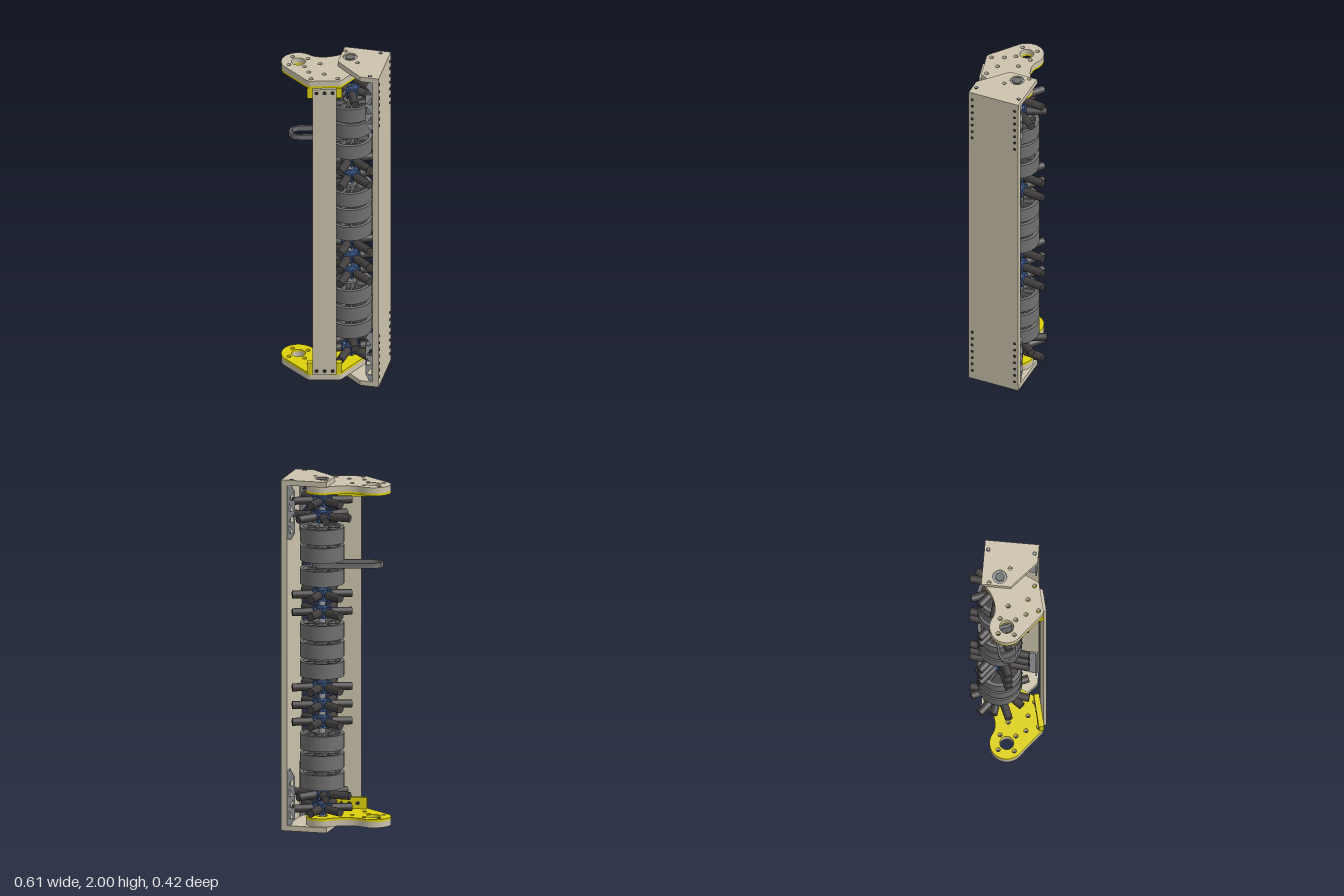
import * as THREE from 'three';

const mat = (name, color, double) => {
  const m = new THREE.MeshStandardMaterial({ color });
  m.name = name;
  if (double) m.side = THREE.DoubleSide;
  return m;
};

export function createModel() {
  const beige = mat('beige panel', 0xcbc3ac);
  const yellow = mat('yellow plate', 0xddd00c);
  const grey = mat('grey wheel', 0x707070);
  const dark = mat('dark rubber', 0x423e3e);
  const blue = mat('blue hub', 0x46639a);
  const steel = mat('steel', 0x9a9da0);
  const black = mat('dark hole', 0x2c2b2a);

  const root = new THREE.Group();
  root.name = 'rollerTower';
  const AX = 0.075, AZ = -0.045; // roller axis

  const add = (parent, name, geo, material, x = 0, y = 0, z = 0) => {
    const m = new THREE.Mesh(geo, material);
    m.name = name;
    m.position.set(x, y, z);
    parent.add(m);
    return m;
  };
  const group = (parent, name, x = 0, y = 0, z = 0, ry = 0) => {
    const g = new THREE.Group();
    g.name = name;
    g.position.set(x, y, z);
    g.rotation.y = ry;
    parent.add(g);
    return g;
  };
  const hole = (x, y, r) => new THREE.Path().absarc(x, y, r, 0, Math.PI * 2, true);
  const box = (w, h, d) => new THREE.BoxGeometry(w, h, d);
  const cyl = (r, h, n = 16) => new THREE.CylinderGeometry(r, r, h, n);
  const extrude = (shape, depth) =>
    new THREE.ExtrudeGeometry(shape, { depth, bevelEnabled: false, curveSegments: 16 });
  // shape drawn in x/z, top face at local y = 0
  const slab = (shape, depth) => extrude(shape, depth).rotateX(Math.PI / 2);

  // ---- side panel ----
  const panel = group(root, 'sidePanel', 0.24, 0, 0.0625, -0.316);
  add(panel, 'panelSheet', box(0.035, 1.978, 0.299), beige, 0, 1.006, 0);
  const dot = cyl(0.009, 0.004, 12).rotateZ(Math.PI / 2);
  for (const z of [-0.128, 0.128])
    for (let i = 0; i < 7; i++)
      for (const y of [0.07 + i * 0.044, 1.95 - i * 0.044]) add(panel, 'panelHole', dot, black, 0.017, y, z);

  // ---- truss brackets inside the panel ----
  const truss = new THREE.Shape([[0, 0], [0, 0.31], [-0.02, 0.31], [-0.042, 0.27], [-0.042, 0.04], [-0.02, 0]]
    .map(p => new THREE.Vector2(...p)));
  for (let i = 0; i < 4; i++) {
    const y = 0.035 + i * 0.062, f = i % 2;
    truss.holes.push(new THREE.Path([
      [-0.007, y + (f ? 0.006 : 0)], [f ? -0.035 : -0.007, y + (f ? 0 : 0.05)], [-0.035, y + (f ? 0.05 : 0.006)],
    ].map(p => new THREE.Vector2(...p))));
  }
  const trussGeo = extrude(truss, 0.008).translate(0, -0.155, -0.004);
  for (const y of [0.2, 1.815])
    for (const s of [-1, 1]) {
      add(panel, 'bracketWeb', trussGeo, steel, -0.0175, y, s * 0.138);
      add(panel, 'bracketFoot', box(0.008, 0.31, 0.045), steel, -0.0215, y, s * 0.12);
    }

  // ---- end assembly, built once for the top and mirrored for the bottom ----
  const end = group(root, 'topEnd');
  const cap = new THREE.Shape([[0.003, 0], [0.055, -0.155], [0.303, -0.075], [0.21, 0.21], [0.11, 0.178]]
    .map(p => new THREE.Vector2(...p)));
  cap.holes.push(hole(AX, AZ, 0.039), hole(0.055, -0.11, 0.011), hole(0.11, 0.022, 0.011));
  add(end, 'endCap', slab(cap, 0.03), beige, 0, 1.998, 0);
  add(end, 'bearing', cyl(0.039, 0.02, 24), steel, AX, 1.98, AZ);
  add(end, 'shaftNut', cyl(0.028, 0.014, 6), grey, AX, 1.991, AZ);
  for (const [x, z] of [[0.245, -0.072], [0.165, 0.173]]) {
    add(end, 'capScrew', cyl(0.012, 0.003, 16), black, x, 1.9975, z);
    add(end, 'capScrewHead', cyl(0.008, 0.003, 6), steel, x, 1.9985, z);
  }

  // pivot plate: round lobe, waist, second lobe around the roller axis
  const arm = new THREE.Shape();
  arm.moveTo(-0.16, 0.15);
  arm.quadraticCurveTo(-0.175, 0.148, -0.186, 0.133);
  arm.lineTo(-0.287, -0.015);
  arm.absarc(-0.21, -0.07, 0.095, 2.52, 5.5, false);
  arm.bezierCurveTo(-0.11, -0.1, -0.04, -0.095, 0.03, -0.123);
  arm.absarc(AX, AZ, 0.09, 4.19, 6.9, false);
  arm.lineTo(0.015, 0.15);
  arm.quadraticCurveTo(0.008, 0.161, -0.01, 0.16);
  arm.closePath();
  arm.holes.push(hole(-0.21, -0.07, 0.039), hole(AX, AZ, 0.03));
  for (const [x, z] of [[-0.238, -0.125], [-0.265, -0.04], [-0.155, -0.095], [-0.181, -0.012], [-0.093, -0.035],
    [-0.163, 0.05], [-0.08, 0.08], [-0.157, 0.122], [-0.01, 0.133]]) arm.holes.push(hole(x, z, 0.012));
  add(end, 'pivotPlate', slab(arm, 0.033), beige, 0, 1.968, 0);
  add(end, 'pivotPlateLiner', slab(arm, 0.014), yellow, 0, 1.935, 0);

  // mounting block for the front bar
  const mount = group(end, 'barMount', -0.086, 0, 0.165, -0.075);
  add(mount, 'mountBlock', box(0.195, 0.064, 0.03), yellow, 0, 1.89, -0.024);
  for (const x of [-0.045, 0, 0.045]) {
    add(mount, 'barScrew', cyl(0.011, 0.004, 12).rotateX(Math.PI / 2), black, x, 1.9, 0.008);
    add(mount, 'blockHole', cyl(0.011, 0.004, 12).rotateX(Math.PI / 2), black, x, 1.89, -0.039);
  }
  const bottom = end.clone();
  bottom.name = 'bottomEnd';
  bottom.scale.y = -1;
  bottom.position.y = 2.012;
  root.add(bottom);

  // ---- front bar ----
  add(root, 'frontBar', box(0.133, 1.835, 0.016), beige, -0.086, 1.006, 0.165).rotation.y = -0.075;

  // ---- roller shaft ----
  const roller = group(root, 'roller', AX, 0, AZ);
  add(roller, 'shaft', cyl(0.02, 1.99, 6), steel, 0, 1.002, 0);
  add(roller, 'lowerNut', cyl(0.026, 0.02, 6), steel, 0, 0.01, 0);

  // spoked wheels
  const H = 0.0425;
  const rim = new THREE.LatheGeometry(
    [[0.103, -H], [0.123, -H], [0.123, H], [0.103, H], [0.103, -H]].map(p => new THREE.Vector2(...p)), 40);
  const rimGeo = rim.toNonIndexed();
  rimGeo.computeVertexNormals();
  // smooth radial normals on the round faces
  const P = rimGeo.attributes.position, N = rimGeo.attributes.normal;
  for (let i = 0; i < P.count; i++) {
    if (Math.abs(N.getY(i)) > 0.5) continue;
    const r = Math.hypot(P.getX(i), P.getZ(i)), s = r > 0.11 ? 1 : -1;
    N.setXYZ(i, s * P.getX(i) / r, 0, s * P.getZ(i) / r);
  }
  const spoke = box(0.08, 0.07, 0.01).translate(0.067, 0, 0);
  for (const y of [1.685, 1.583, 1.45, 1.143, 1.038, 0.928, 0.518, 0.408, 0.298]) {
    const wheel = group(roller, 'wheel', 0, y, 0);
    add(wheel, 'wheelRim', rimGeo, grey);
    add(wheel, 'wheelHub', cyl(0.036, 0.084, 20), grey);
    for (let i = 0; i < 8; i++) add(wheel, 'wheelSpoke', spoke, grey).rotation.y = i * Math.PI / 4;
    add(wheel, 'wheelWeb', cyl(0.105, 0.02, 32), dark);
  }

  // star wheels with six rubber fingers
  const finger = new THREE.CylinderGeometry(0.022, 0.024, 0.115, 16).rotateZ(-Math.PI / 2).translate(0.109, 0, 0);
  const collar = cyl(0.017, 0.07, 10).rotateZ(Math.PI / 2).translate(0.035, 0, 0);
  const stars = [[1.875, 65], [1.785, 95], [1.345, 65], [1.245, 65], [0.82, 65], [0.72, 65], [0.625, 65],
    [0.215, 95], [0.135, 65]];
  for (const [y, deg] of stars) {
    const star = group(roller, 'starWheel', 0, y, 0);
    add(star, 'starHub', cyl(0.042, 0.05, 12), blue);
    add(star, 'starSleeve', cyl(0.027, 0.075, 12), blue);
    for (let i = 0; i < 6; i++) {
      const a = (deg + i * 60) * Math.PI / 180;
      add(star, 'finger', finger, dark).rotation.y = a;
      add(star, 'fingerCollar', collar, blue).rotation.y = a;
      add(star, 'hubRib', box(0.03, 0.056, 0.008).translate(0.043, 0, 0), blue).rotation.y = a + Math.PI / 6;
    }
  }

  // ---- drive belt between the roller and the pivot ----
  const loop = (o) => {
    const pts = [];
    for (let i = 0; i <= 12; i++) {
      const a = -Math.PI / 2 + i * Math.PI / 12;
      pts.push(new THREE.Vector2(AX + (0.05 + o) * Math.cos(a), AZ + (0.05 + o) * Math.sin(a)));
    }
    for (let i = 0; i <= 4; i++) {
      const a = Math.PI / 2 + i * Math.PI / 4;
      pts.push(new THREE.Vector2(-0.21 + (0.049 + o) * Math.cos(a), -0.06 + (0.049 + o) * Math.sin(a)));
    }
    return pts;
  };
  const belt = new THREE.Shape(loop(0.006));
  belt.holes.push(new THREE.Path(loop(-0.006).reverse()));
  add(root, 'driveBelt', slab(belt, 0.03), grey, 0, 1.53, 0);

  return root;
}
